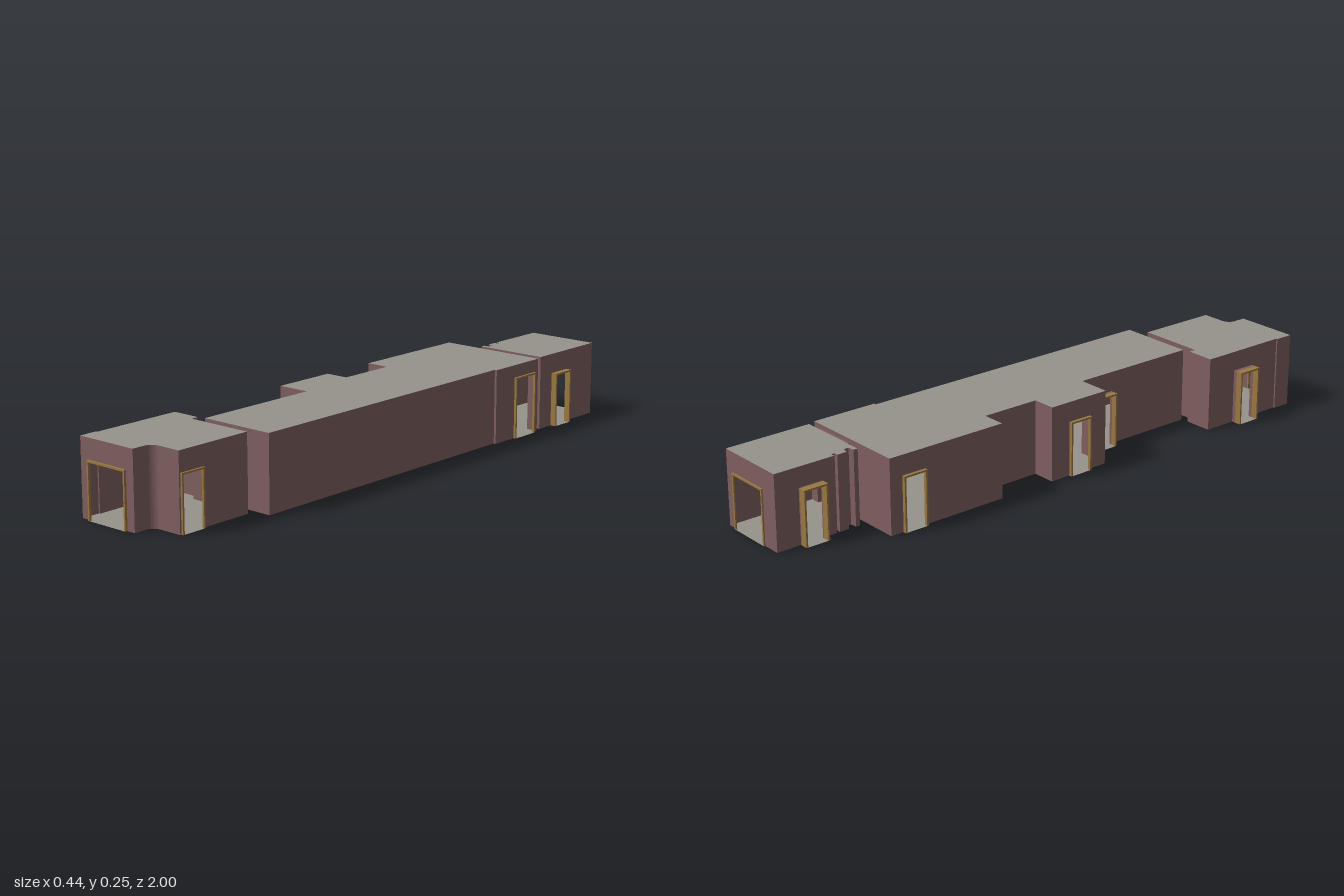
import * as THREE from 'three';

const wallMat = new THREE.MeshStandardMaterial({ name: 'wallBrown', color: 0x805f60, side: THREE.DoubleSide });
const slabMat = new THREE.MeshStandardMaterial({ name: 'slabGrey', color: 0x96928b, side: THREE.DoubleSide });
const frameMat = new THREE.MeshStandardMaterial({ name: 'frameGold', color: 0x9b7840 });

const HEIGHT = 0.248;
const RIM = 0.006;

// Outward direction of each side: axis, sign and rotation about y
const SIDES = {
  front: { axis: 'z', sign: 1, turn: 0 },
  back: { axis: 'z', sign: -1, turn: Math.PI },
  left: { axis: 'x', sign: 1, turn: Math.PI / 2 },
  right: { axis: 'x', sign: -1, turn: -Math.PI / 2 },
};

// Concave quarter round, from the side wall to the front wall
const fillet = [];
for (let i = 0; i <= 8; i++) {
  const a = (i / 8) * Math.PI / 2;
  fillet.push([0.06 - 0.03 * Math.sin(a), 0.95 - 0.03 * Math.cos(a)]);
}

// Plans are [x, z]; a door spans from..to along the wall at "at".
// stub = depth of plain passage, frame = depth of gilded frame
const ROOMS = [
  {
    name: 'backRoom',
    plan: [[-0.052, -0.995], [0.198, -0.995], [0.198, -0.7], [-0.052, -0.7], [-0.052, -0.715],
      [-0.03, -0.717], [-0.03, -0.733], [-0.052, -0.74], [-0.052, -0.773], [-0.038, -0.773],
      [-0.038, -0.785], [-0.052, -0.785]],
    doors: [
      { side: 'back', at: -0.995, from: 0.01, to: 0.166, h: 0.182, stub: 0, frame: 0.005 },
      { side: 'left', at: 0.198, from: -0.848, to: -0.764, h: 0.182, stub: 0, frame: 0.02 },
      { side: 'right', at: -0.052, from: -0.912, to: -0.828, h: 0.182, stub: 0.005, frame: 0.023 },
      { side: 'front', at: -0.7, from: 0.022, to: 0.172, h: 0.235, stub: 0.025, frame: 0 },
    ],
  },
  {
    name: 'longHall',
    plan: [[-0.174, -0.675], [0.206, -0.675], [0.206, -0.45], [0.198, -0.45], [0.198, 0.615],
      [-0.063, 0.615], [-0.063, 0.17], [-0.174, 0.17], [-0.174, -0.052], [-0.095, -0.052],
      [-0.095, -0.252], [-0.174, -0.252]],
    doors: [
      { side: 'left', at: 0.206, from: -0.655, to: -0.547, h: 0.206, stub: 0, frame: 0.008 },
      { side: 'right', at: -0.174, from: -0.63, to: -0.545, h: 0.182, stub: 0, frame: 0.011 },
      { side: 'right', at: -0.174, from: 0.02, to: 0.104, h: 0.182, stub: 0, frame: 0.011 },
      { side: 'right', at: -0.063, from: 0.213, to: 0.297, h: 0.182, stub: 0.01, frame: 0.018 },
      { side: 'front', at: 0.615, from: 0.027, to: 0.111, h: 0.182, stub: 0.03, frame: 0 },
      { side: 'back', at: -0.675, from: 0.022, to: 0.172, h: 0.235, stub: 0, frame: 0 },
    ],
  },
  {
    name: 'frontRoom',
    plan: [[-0.185, 0.62], [-0.088, 0.62], [-0.088, 0.645], [0.14, 0.645], [0.14, 0.92],
      ...fillet, [0.03, 0.992], [-0.19, 0.992], [-0.19, 0.93], [-0.185, 0.93]],
    doors: [
      { side: 'front', at: 0.992, from: -0.158, to: 0, h: 0.182, stub: 0, frame: 0.008 },
      { side: 'left', at: 0.14, from: 0.825, to: 0.915, h: 0.182, stub: 0, frame: 0.007 },
      { side: 'right', at: -0.185, from: 0.733, to: 0.817, h: 0.182, stub: 0.013, frame: 0.022 },
      { side: 'back', at: 0.645, from: 0.027, to: 0.111, h: 0.182, stub: 0, frame: 0 },
    ],
  },
];

function mesh(name, geometry, material) {
  const m = new THREE.Mesh(geometry, material);
  m.name = name;
  return m;
}

const shapeOf = (points) => new THREE.Shape(points.map(([x, y]) => new THREE.Vector2(x, y)));

// Horizontal sheet from a plan outline
function slab(name, plan, y) {
  const m = mesh(name, new THREE.ShapeGeometry(shapeOf(plan.map(([x, z]) => [x, -z]))), slabMat);
  m.rotation.x = -Math.PI / 2;
  m.position.y = y;
  return m;
}

// One upright wall from a to b, notched at the bottom for its doors
function wall(a, b, doors) {
  const dx = b[0] - a[0], dz = b[1] - a[1];
  const length = Math.hypot(dx, dz);
  const notches = [];
  for (const d of doors) {
    const along = SIDES[d.side].axis === 'x' ? 1 : 0, across = 1 - along;
    if (Math.abs(a[across] - d.at) > 0.001 || Math.abs(b[across] - d.at) > 0.001) continue;
    const s = Math.sign(b[along] - a[along]);
    const ends = [d.from, d.to].map((v) => (v - a[along]) * s).sort((p, q) => p - q);
    if (ends[0] >= 0 && ends[1] <= length) notches.push([...ends, d.h]);
  }
  notches.sort((p, q) => p[0] - q[0]);
  const pts = [[0, 0]];
  for (const [s, e, h] of notches) pts.push([s, 0], [s, h], [e, h], [e, 0]);
  pts.push([length, 0], [length, HEIGHT], [0, HEIGHT]);
  const m = mesh('wall', new THREE.ShapeGeometry(shapeOf(pts)), wallMat);
  m.position.set(a[0], 0, a[1]);
  m.rotation.y = Math.atan2(-dz, dx);
  return m;
}

// U-shaped surround extruded along z
function portal(name, w, h, depth, z, material) {
  const o = w / 2, i = o - RIM;
  const shape = shapeOf([[-o, 0], [-i, 0], [-i, h - RIM], [i, h - RIM], [i, 0], [o, 0], [o, h], [-o, h]]);
  const m = mesh(name, new THREE.ExtrudeGeometry(shape, { depth, bevelEnabled: false }), material);
  m.position.z = z;
  return m;
}

function doorway(d) {
  const side = SIDES[d.side];
  const g = new THREE.Group();
  g.name = 'doorway';
  const w = d.to - d.from, mid = (d.from + d.to) / 2, reach = d.stub + d.frame;
  if (d.stub) g.add(portal('passage', w, d.h, d.stub, 0, wallMat));
  if (d.frame) g.add(portal('doorFrame', w, d.h, d.frame, d.stub, frameMat));
  if (reach) g.add(slab('threshold', [[-w / 2, 0], [w / 2, 0], [w / 2, reach], [-w / 2, reach]], 0));
  if (side.axis === 'x') g.position.set(d.at, 0, mid);
  else g.position.set(mid, 0, d.at);
  g.rotation.y = side.turn;
  return g;
}

export function createModel() {
  const model = new THREE.Group();
  model.name = 'corridorBuilding';
  for (const { name, plan, doors } of ROOMS) {
    const room = new THREE.Group();
    room.name = name;
    room.add(slab('floor', plan, 0), slab('roof', plan, HEIGHT));
    plan.forEach((p, i) => room.add(wall(p, plan[(i + 1) % plan.length], doors)));
    doors.forEach((d) => room.add(doorway(d)));
    model.add(room);
  }
  return model;
}
